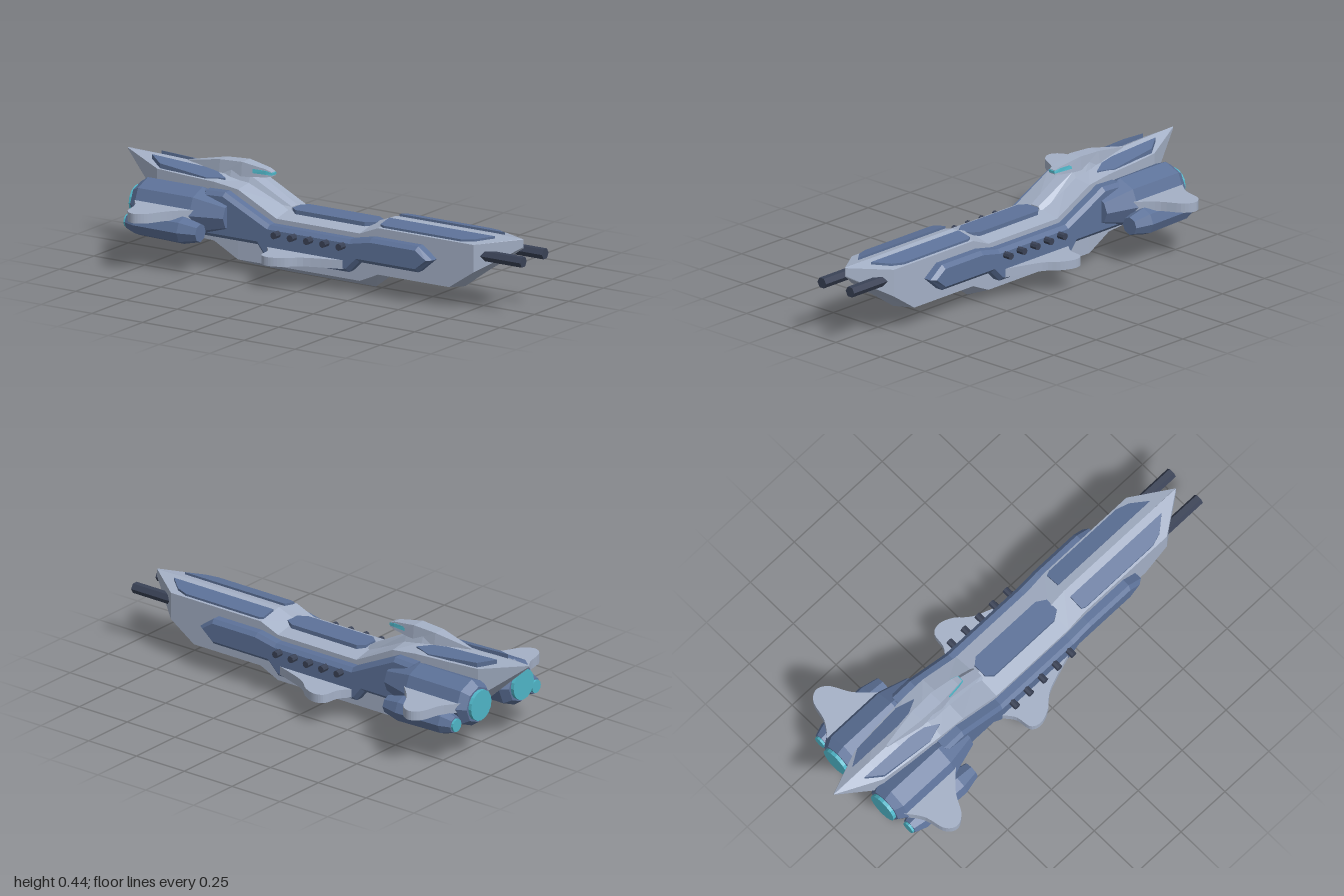
import * as THREE from 'three';

const mat = (color) => new THREE.MeshStandardMaterial({ color, flatShading: true });
const GREY = mat(0xa4b0c6), BLUE = mat(0x5d7299), DARK = mat(0x3a4256), CYAN = mat(0x4fb6c8);

function add(parent, name, geometry, material) {
  const mesh = new THREE.Mesh(geometry, material);
  mesh.name = name;
  parent.add(mesh);
  return mesh;
}

// Closed skin through rings of [x, y, z], ordered from back (-x) to front (+x)
function loft(rings) {
  const n = rings[0].length, pos = [];
  const tri = (a, b, c) => pos.push(...a, ...b, ...c);
  for (let i = 0; i < rings.length - 1; i++) {
    const a = rings[i], b = rings[i + 1];
    for (let j = 0; j < n; j++) {
      const k = (j + 1) % n;
      tri(a[j], a[k], b[j]);
      tri(a[k], b[k], b[j]);
    }
  }
  const first = rings[0], last = rings[rings.length - 1];
  for (let j = 1; j < n - 1; j++) {
    tri(first[0], first[j + 1], first[j]);
    tri(last[0], last[j], last[j + 1]);
  }
  const g = new THREE.BufferGeometry();
  g.setAttribute('position', new THREE.Float32BufferAttribute(pos, 3));
  g.computeVertexNormals();
  return g;
}

// Four-sided section: top half width and height, bottom half width and height
const trapezoid = ([x, wt, yt, wb, yb]) => [[x, yt, -wt], [x, yt, wt], [x, yb, wb], [x, yb, -wb]];

// Octagonal section of a pod
const octagon = (x, r, cy, cz) => Array.from({ length: 8 }, (_, i) => {
  const a = i * Math.PI / 4;
  return [x, cy + r * Math.cos(a), cz + r * Math.sin(a)];
});
const pod = (stations, cy, cz) => loft(stations.map(([x, r]) => octagon(x, r, cy, cz)));

// Rod lying along x
function rodX(x0, x1, r, y, z, sides) {
  const g = new THREE.CylinderGeometry(r, r, x1 - x0, sides);
  return g.rotateZ(Math.PI / 2).translate((x0 + x1) / 2, y, z);
}

// Horizontal plate from [x, z] points, optionally sloping down outward and forward
function plate(points, top, thickness, slopeZ = 0, slopeX = 0) {
  const v = points.map(([x, z]) => new THREE.Vector2(x, z));
  const g = new THREE.ExtrudeGeometry(new THREE.Shape(v), { depth: thickness, bevelEnabled: false });
  g.rotateX(Math.PI / 2).translate(0, top, 0);
  const p = g.attributes.position;
  for (let i = 0; i < p.count; i++) {
    p.setY(i, p.getY(i) - slopeZ * Math.abs(p.getZ(i)) - slopeX * p.getX(i));
  }
  g.computeVertexNormals();
  return g;
}

const smooth = (pts) => new THREE.SplineCurve(pts.map(([x, z]) => new THREE.Vector2(x, z)))
  .getPoints(28).map((p) => [p.x, p.y]);

function createSide() {
  const side = new THREE.Group();

  // Flank armour, stepping down from the engine to the waist
  const outline = [[-0.52, 0.33], [-0.42, 0.335], [-0.2, 0.23], [0.2, 0.23], [0.3, 0.25], [0.53, 0.25],
    [0.6, 0.2], [0.53, 0.14], [0.24, 0.14], [0.19, 0.09], [-0.22, 0.09], [-0.26, 0.14], [-0.52, 0.14]];
  const shape = new THREE.Shape(outline.map(([x, y]) => new THREE.Vector2(x, y)));
  add(side, 'flankArmour', new THREE.ExtrudeGeometry(shape, {
    depth: 0.06, bevelThickness: 0.016, bevelSize: 0.016, bevelOffset: -0.016, bevelSegments: 1,
  }).translate(0, 0, 0.091), BLUE);

  // Main engine and its smaller outboard pod, with glowing exhausts
  add(side, 'mainEngine', pod([[-0.845, 0.078], [-0.81, 0.102], [-0.54, 0.102], [-0.4, 0.06]], 0.235, 0.138), BLUE);
  add(side, 'mainExhaust', rodX(-0.86, -0.84, 0.066, 0.235, 0.138, 16), CYAN);
  add(side, 'outerPod', pod([[-0.82, 0.034], [-0.77, 0.052], [-0.55, 0.057], [-0.47, 0.038]], 0.178, 0.258), BLUE);
  add(side, 'outerExhaust', rodX(-0.83, -0.81, 0.028, 0.178, 0.258, 12), CYAN);

  // Rounded fins: high at the stern, low at the waist
  const sternFin = smooth([[-0.83, 0.21], [-0.77, 0.29], [-0.745, 0.38], [-0.7, 0.412], [-0.65, 0.385],
    [-0.6, 0.3], [-0.52, 0.22]]);
  add(side, 'sternFin', plate(sternFin, 0.26, 0.04), GREY);
  const waistFin = smooth([[-0.22, 0.15], [-0.17, 0.21], [-0.155, 0.28], [-0.11, 0.298], [-0.05, 0.275],
    [0.02, 0.22], [0.19, 0.16]]);
  add(side, 'waistFin', plate(waistFin, 0.14, 0.037), GREY);

  // Row of short gun stubs
  for (let i = 0; i < 5; i++) {
    const stub = new THREE.CylinderGeometry(0.015, 0.015, 0.1, 8).rotateX(Math.PI / 2);
    add(side, 'gunStub', stub.translate(-0.15 + i * 0.08, 0.202, 0.15), DARK);
  }

  // Bow gun
  add(side, 'bowGun', rodX(0.6, 1, 0.024, 0.238, 0.079, 6), DARK);

  // Deck plates
  add(side, 'foreDeckPlate', plate([[0.31, 0.036], [0.31, 0.1], [0.33, 0.108], [0.71, 0.108], [0.765, 0.09],
    [0.83, 0.036]], 0.32, 0.014, 0.21), BLUE);
  add(side, 'sternDeckPlate', plate([[-0.86, 0.035], [-0.79, 0.08], [-0.55, 0.1], [-0.47, 0.075],
    [-0.53, 0.045], [-0.6, 0.035]], 0.372, 0.02, 0.33, 0.05), BLUE);
  return side;
}

export function createModel() {
  const model = new THREE.Group();
  model.name = 'spaceship';

  // Hull stations: x, half width, top centre, top edge, bottom edge, keel
  const stations = [
    [-1, 0.002, 0.405, 0.402, 0.398, 0.395],
    [-0.8, 0.085, 0.4, 0.362, 0.24, 0.212],
    [-0.66, 0.1, 0.395, 0.36, 0.115, 0.08],
    [-0.5, 0.113, 0.385, 0.358, 0.11, 0.08],
    [-0.38, 0.118, 0.362, 0.345, 0.05, 0.004],
    [-0.19, 0.118, 0.275, 0.25, 0.05, 0],
    [0.22, 0.118, 0.275, 0.25, 0.05, 0],
    [0.31, 0.118, 0.31, 0.286, 0.09, 0.068],
    [0.66, 0.118, 0.31, 0.286, 0.09, 0.068],
    [0.78, 0.118, 0.31, 0.286, 0.17, 0.156],
    [0.945, 0.002, 0.31, 0.308, 0.274, 0.27],
  ];
  add(model, 'hull', loft(stations.map(([x, w, tc, te, be, k]) =>
    [[x, tc, 0], [x, te, w], [x, be, w], [x, k, 0], [x, be, -w], [x, te, -w]])), GREY);

  // Midship deck plate
  add(model, 'midDeckPlate', plate([[-0.17, -0.03], [-0.17, 0.03], [-0.14, 0.055], [0.2, 0.055], [0.24, 0.03],
    [0.24, -0.03], [0.2, -0.055], [-0.14, -0.055]], 0.281, 0.02), BLUE);

  // Bridge: sloping base, overhanging head and window
  add(model, 'bridgeBase', loft([
    [-0.55, 0.02, 0.4, 0.05, 0.32], [-0.47, 0.03, 0.405, 0.065, 0.31],
    [-0.38, 0.028, 0.385, 0.065, 0.3], [-0.18, 0.02, 0.28, 0.045, 0.25],
  ].map(trapezoid)), GREY);
  add(model, 'bridgeHead', loft([
    [-0.7, 0.004, 0.398, 0.006, 0.38], [-0.53, 0.027, 0.43, 0.035, 0.37], [-0.42, 0.03, 0.436, 0.036, 0.375],
    [-0.31, 0.018, 0.418, 0.022, 0.385], [-0.285, 0.014, 0.408, 0.016, 0.39],
  ].map(trapezoid)), GREY);
  add(model, 'bridgeWindow', loft([
    [-0.37, 0.026, 0.413, 0.029, 0.396], [-0.31, 0.021, 0.412, 0.0225, 0.396], [-0.281, 0.014, 0.405, 0.0165, 0.395],
  ].map(trapezoid)), CYAN);

  // Both flanks
  for (const s of [1, -1]) {
    const side = createSide();
    side.name = s > 0 ? 'frontFlank' : 'backFlank';
    side.scale.z = s;
    model.add(side);
  }
  return model;
}
